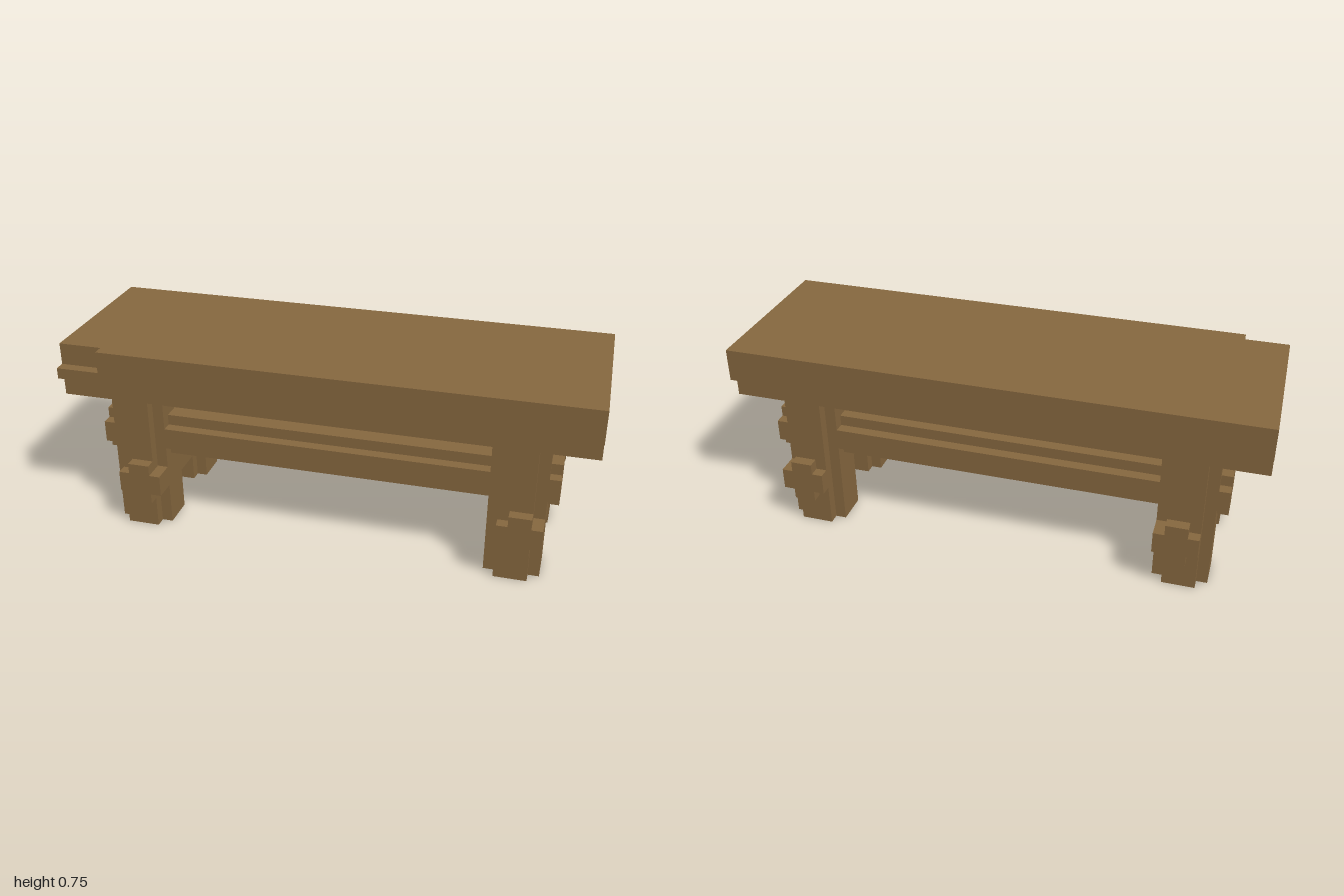
import * as THREE from 'three';

const U = 1 / 24; // one block unit

export function createModel() {
  const group = new THREE.Group();
  const wood = new THREE.MeshStandardMaterial({ color: 0x886940 });
  wood.name = 'wood';

  const add = (name, geometry, x, y, z) => {
    const mesh = new THREE.Mesh(geometry, wood);
    mesh.name = name;
    mesh.position.set(x * U, y * U, z * U);
    group.add(mesh);
  };

  // Board centred on x and z, from height y0 to y1
  const board = (name, length, depth, y0, y1) =>
    add(name, new THREE.BoxGeometry(length * U, (y1 - y0) * U, depth * U), 0, (y0 + y1) / 2, 0);

  // Prism along z, centred on the origin
  const prism = (points, length) => {
    const shape = new THREE.Shape(points.map(([x, y]) => new THREE.Vector2(x * U, y * U)));
    const geometry = new THREE.ExtrudeGeometry(shape, { depth: length * U, bevelEnabled: false });
    return geometry.translate(0, 0, (-length * U) / 2);
  };

  // Square post with a one-unit notch along each edge
  const notchedPost = (size, length) => {
    const a = size / 2, b = a - 1;
    return prism([
      [b, -a], [b, -b], [a, -b], [a, b], [b, b], [b, a],
      [-b, a], [-b, b], [-a, b], [-a, -b], [-b, -b], [-b, -a],
    ], length);
  };

  // Table top: lower slab, and upper slab with a chipped front corner
  board('topLowerSlab', 48, 16, 15, 16);
  const chipped = prism([[-24, -7], [-20, -7], [-20, -8], [24, -8], [24, 8], [-24, 8]], 2);
  add('topUpperSlab', chipped.rotateX(-Math.PI / 2), 0, 17, 0);

  // Stepped apron under the top
  board('apron', 48, 14, 13, 15);
  board('apronStep', 48, 10, 12, 13);

  // Legs, with a cross rail joining each pair
  for (const x of [-17.5, 17.5]) {
    for (const z of [-4.5, 4.5]) {
      add('leg', notchedPost(5, 13).rotateX(-Math.PI / 2), x, 6.5, z);
    }
    add('crossRail', notchedPost(4, 16), x + 0.5, 5, 0);
  }

  // Long stretchers
  for (const z of [-4, 4]) {
    add('stretcher', notchedPost(4, 42).rotateY(Math.PI / 2), 0, 9, z);
  }

  return group;
}
